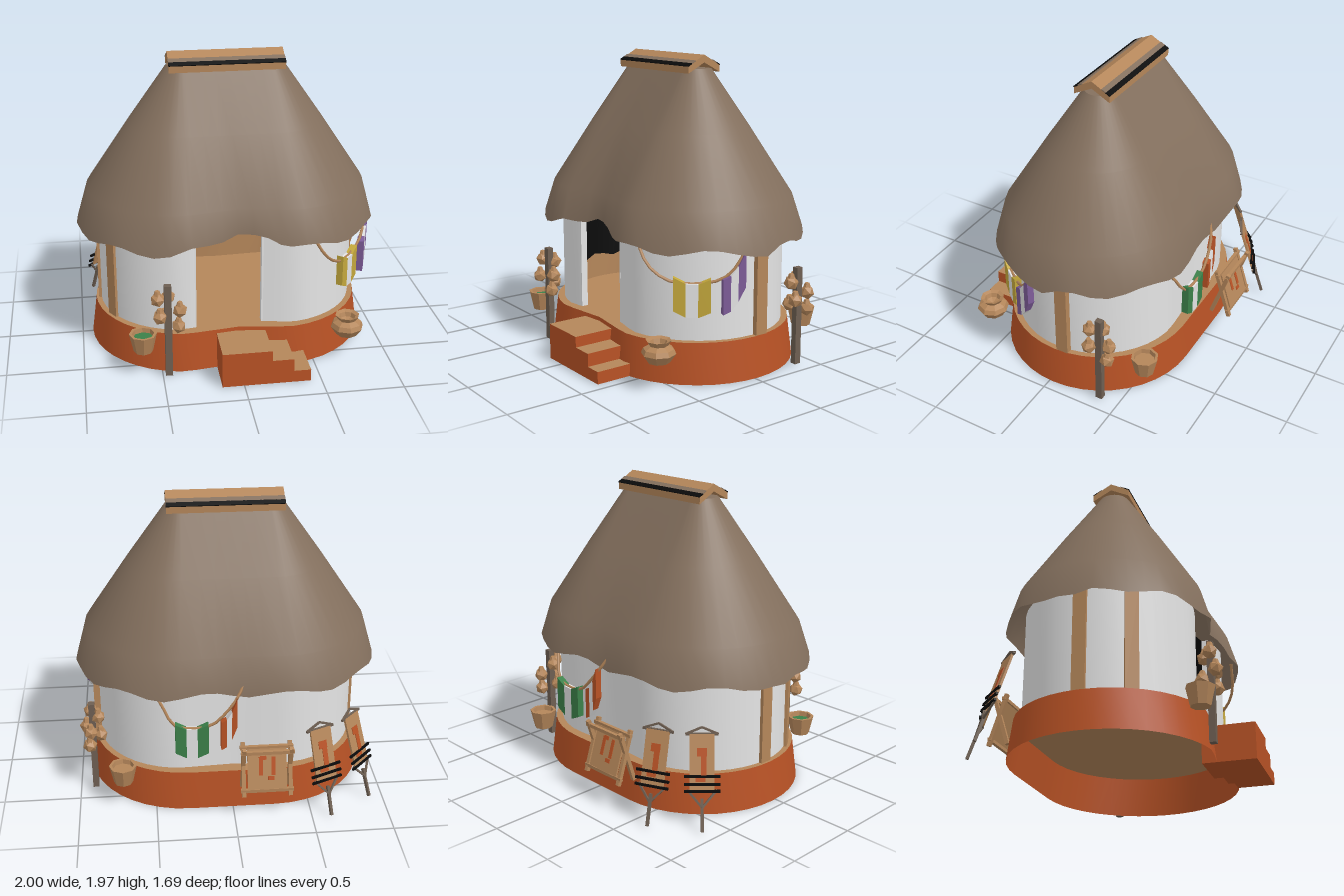
import * as THREE from 'three';

const mat = (name, color, extra = {}) => {
  const m = new THREE.MeshStandardMaterial({ color, side: THREE.DoubleSide, ...extra });
  m.name = name;
  return m;
};
const V = (x, y, z) => new THREE.Vector3(x, y, z);

export function createModel() {
  const model = new THREE.Group();
  const thatch = mat('thatch', 0x84705e), clay = mat('clay', 0xb85225), plaster = mat('plaster', 0xe4e4e4);
  const wood = mat('tanWood', 0xb4865a), dark = mat('darkness', 0x0b0b0b), pole = mat('greyWood', 0x6e5f52);
  const yellow = mat('yellowCloth', 0xc4a83c), purple = mat('purpleCloth', 0x7e5c99), green = mat('greenCloth', 0x3b8049);

  const add = (name, geo, material, parent = model, flat = false) => {
    const g = flat && geo.index ? geo.toNonIndexed() : geo;
    if (flat) g.computeVertexNormals();
    const mesh = new THREE.Mesh(g, material);
    mesh.name = name;
    parent.add(mesh);
    return mesh;
  };
  const group = (name, parent = model) => {
    const g = new THREE.Group();
    g.name = name;
    parent.add(g);
    return g;
  };
  const box = (name, w, h, d, x, y, z, m, parent) => {
    const b = add(name, new THREE.BoxGeometry(w, h, d), m, parent);
    b.position.set(x, y, z);
    return b;
  };
  // Square bar between two points
  const beam = (name, a, b, t, m, parent, depth = t) => {
    const dir = b.clone().sub(a);
    const bar = add(name, new THREE.BoxGeometry(t, dir.length(), depth), m, parent);
    bar.position.copy(a).add(b).multiplyScalar(0.5);
    bar.quaternion.setFromUnitVectors(V(0, 1, 0), dir.normalize());
    return bar;
  };

  // Oval plan with a pinched front (and slightly pinched back), counter-clockwise from above
  const ARC = 20, FRONT = [-0.9, -0.6, -0.3, 0, 0.3, 0.567, 0.8], BACK = [0.6, 0.3, 0, -0.3, -0.6];
  const outline = (s, r, y, dipF = 0, dipB = 0, cz = -0.025) => {
    const flat = [];
    for (let i = 0; i <= ARC; i++) {
      const t = -Math.PI / 2 + Math.PI * i / ARC;
      flat.push([s + r * Math.cos(t), -r * Math.sin(t)]);
    }
    BACK.forEach(k => flat.push([k * s, -r]));
    for (let i = 0; i <= ARC; i++) {
      const t = Math.PI / 2 + Math.PI * i / ARC;
      flat.push([-s + r * Math.cos(t), -r * Math.sin(t)]);
    }
    FRONT.forEach(k => flat.push([k * s, r]));
    return flat.map(([x, z], i) => {
      const pinch = Math.max(0, 1 - Math.abs(x) / 0.38);
      const yy = typeof y === 'function' ? y(x, z, i) : y;
      return V(x, yy, cz + z - (z > 0 ? dipF : -dipB) * pinch);
    });
  };
  // Skin over stacked outlines, bottom to top; optional gap for the door
  const loft = (rings, door = false) => {
    const n = rings[0].length, pos = rings.flat().flatMap(p => [p.x, p.y, p.z]), idx = [];
    const gapFrom = n - FRONT.length, gapTo = gapFrom + 5;
    for (let j = 0; j < rings.length - 1; j++) for (let i = 0; i < n; i++) {
      if (door && i >= gapFrom && i < gapTo) continue;
      const a = j * n + i, b = j * n + (i + 1) % n;
      idx.push(a, b, a + n, b, b + n, a + n);
    }
    const g = new THREE.BufferGeometry();
    g.setAttribute('position', new THREE.Float32BufferAttribute(pos, 3));
    g.setIndex(idx);
    g.computeVertexNormals();
    return g;
  };
  const disc = ring => loft([ring, ring.map(p => V(0, p.y, -0.025))]);

  // Plinth, floor, walls and dark interior
  const baseTop = outline(0.275, 0.62, 0.26, 0.05);
  add('base', loft([outline(0.28, 0.65, 0, 0.05), baseTop]), clay);
  add('floor', disc(baseTop), wood);
  const wallRing = y => outline(0.3, 0.56, y, 0.08, 0.02);
  add('wall', loft([wallRing(0.26), wallRing(0.96)], true), plaster);
  const inner = y => outline(0.3, 0.52, y, 0.08, 0.02);
  const jag = inner((x, z, i) => 0.425 + 0.018 * Math.sin(i * 2.1));
  add('innerWallLower', loft([inner(0.26), jag], true), wood);
  add('innerWallUpper', loft([jag, inner(0.96)], true), dark);
  add('ceiling', disc(inner(0.96)), dark);
  box('doorJambLeft', 0.012, 0.7, 0.045, 0.17, 0.61, 0.47, plaster);
  box('doorJambRight', 0.012, 0.7, 0.045, -0.27, 0.61, 0.49, plaster);
  for (const [x, z, a] of [[0.865, -0.08, 0], [-0.85, -0.04, 0], [-0.775, 0.25, 0.55]])
    box('wallPost', 0.055, 0.68, 0.085, x, 0.6, z, wood).rotation.y = a;

  // Thatched roof with wavy eave
  const eave = (x, z, i) => 0.843 + 0.022 * Math.sin(i * 1.25)
    + (z > 0 ? 0.085 * Math.max(0, 1 - Math.abs(x) / 0.38) : 0) - 0.045 * Math.max(0, 1 - Math.abs(z) / 0.15) * (Math.abs(x) > 0.8 ? 1 : 0);
  const roofTop = outline(0.28, 0.1, 1.88);
  add('roof', loft([outline(0.33, 0.67, eave, 0.1, 0.03), outline(0.32, 0.605, 1.08, 0.06, 0.01),
    outline(0.3, 0.345, 1.5), roofTop]), thatch);
  add('roofTop', disc(roofTop), thatch);

  // Ridge cap with weathered bands
  const cap = new THREE.Shape([[-0.125, 1.9], [-0.125, 1.855], [0, 1.92], [0.125, 1.855], [0.125, 1.9], [0, 1.968]]
    .map(p => new THREE.Vector2(...p)));
  const ridge = add('ridgeCap', new THREE.ExtrudeGeometry(cap, { depth: 0.75, bevelEnabled: false }), wood);
  ridge.rotation.y = Math.PI / 2;
  ridge.position.set(-0.375, 0, -0.02);
  const slope = Math.atan2(0.068, 0.125);
  for (const s of [-1, 1]) for (const [d, w, m, n] of [[0.083, 0.03, thatch, 'ridgeThatchBand'], [0.112, 0.03, dark, 'ridgeDarkBand']])
    box(n, 0.752, 0.006, w / Math.cos(slope), 0, 1.97 - d * Math.tan(slope), -0.02 + s * d, m).rotation.x = s * slope;

  // Side steps
  const steps = group('steps'), stepMats = [clay, clay, wood, clay, clay, clay];
  for (const [x0, x1, h, z0] of [[-0.14, 0.18, 0.235, 0.5], [0.18, 0.32, 0.165, 0.56], [0.32, 0.43, 0.08, 0.6]])
    box('step', x1 - x0, h, 0.84 - z0, (x0 + x1) / 2, h / 2, (0.84 + z0) / 2, stepMats, steps);

  // Poles hung with gourds
  const gourdPole = (x, z, turn) => {
    const g = group('gourdPole');
    g.position.set(x, 0, z);
    g.rotation.y = turn;
    box('pole', 0.045, 0.64, 0.04, 0, 0.33, 0, pole, g);
    for (const [gx, gy, gz] of [[-0.065, 0.56, 0.01], [0.005, 0.55, -0.04], [-0.055, 0.45, 0.04], [0.075, 0.475, 0.01],
      [0.065, 0.37, 0.02], [-0.02, 0.4, -0.05]]) {
      const b = add('gourd', new THREE.IcosahedronGeometry(0.048, 0), wood, g, true);
      b.position.set(gx, gy, gz);
      b.rotation.set(gy * 9, gx * 30, 0);
      const neck = add('gourdNeck', new THREE.CylinderGeometry(0.016, 0.026, 0.03, 6), wood, g, true);
      neck.position.set(gx, gy + 0.045, gz);
    }
  };
  gourdPole(-0.46, 0.65, 0);
  gourdPole(0.9, -0.37, Math.PI / 2);

  // Buckets and pot
  for (const [x, z, fill] of [[-0.62, 0.62, green], [0.71, -0.59, wood]]) {
    const g = group('bucket');
    g.position.set(x, 0.18, z);
    const profile = [[0, 0], [0.062, 0], [0.09, 0.125], [0.072, 0.125], [0.066, 0.09]].map(p => new THREE.Vector2(...p));
    add('bucketShell', new THREE.LatheGeometry(profile, 8), wood, g, true);
    add('bucketFill', new THREE.CylinderGeometry(0.068, 0.06, 0.01, 8), fill, g, true).position.y = 0.09;
  }
  const potProfile = [[0, 0], [0.07, 0], [0.108, 0.055], [0.095, 0.085], [0.058, 0.105], [0.08, 0.138], [0.055, 0.128], [0.045, 0.1], [0, 0.08]];
  add('pot', new THREE.LatheGeometry(potProfile.map(p => new THREE.Vector2(...p)), 8), wood, model, true).position.set(0.72, 0.18, 0.59);

  // Striped cloths hanging on ropes
  const cloth = (p0, p1, h, colour, thick = 0.045) => {
    const g = group('hangingCloth'), side = V(p1.z - p0.z, 0, p0.x - p1.x).normalize();
    [colour, plaster, colour].forEach((m, k) => {
      const geo = new THREE.BoxGeometry(1, 1, 1), pos = geo.attributes.position;
      for (let i = 0; i < pos.count; i++) {
        const u = (k + 0.5 + pos.getX(i)) / 3;
        const p = p0.clone().lerp(p1, u).addScaledVector(side, pos.getZ(i) * thick);
        p.y += (pos.getY(i) - 0.5) * h - 0.04 * u * (1 - u) * 4 + 0.02;
        pos.setXYZ(i, p.x, p.y, p.z);
      }
      add('clothStripe', geo, m, g, true);
    });
  };
  const rope = pts => add('rope', new THREE.TubeGeometry(new THREE.CatmullRomCurve3(pts), 14, 0.01, 5), wood);
  rope([V(0.47, 0.9, 0.58), V(0.57, 0.74, 0.56), V(0.68, 0.65, 0.47), V(0.84, 0.65, 0.27), V(0.9, 0.7, 0.19), V(0.94, 0.84, 0.1), V(0.95, 0.91, 0.06)]);
  cloth(V(0.69, 0.66, 0.46), V(0.83, 0.65, 0.28), 0.21, yellow);
  cloth(V(0.885, 0.65, 0.235), V(0.94, 0.82, 0.105), 0.22, purple);
  rope([V(0.52, 0.9, -0.57), V(0.44, 0.76, -0.65), V(0.37, 0.65, -0.69), V(0.16, 0.64, -0.7), V(0.08, 0.7, -0.7), V(-0.02, 0.82, -0.68), V(-0.07, 0.91, -0.64)]);
  cloth(V(0.37, 0.65, -0.695), V(0.16, 0.64, -0.695), 0.21, green);
  cloth(V(0.08, 0.65, -0.695), V(-0.02, 0.81, -0.69), 0.2, clay);

  // Crossed-leg rack with a stretched hide
  const rack = group('hideRack');
  for (const x of [-0.355, -0.055]) {
    beam('rackLeg', V(x, 0.18, -0.83), V(x, 0.52, -0.72), 0.025, wood, rack);
    beam('rackLeg', V(x, 0.18, -0.7), V(x, 0.52, -0.81), 0.025, wood, rack);
  }
  for (const [y, z] of [[0.49, -0.735], [0.22, -0.82], [0.49, -0.8]])
    beam('rackBar', V(-0.375, y, z), V(-0.035, y, z), 0.022, wood, rack);
  const hide = box('hide', 0.25, 0.27, 0.012, -0.205, 0.355, -0.782, wood, rack);
  hide.rotation.x = 0.31;
  for (const [x, y, w, h] of [[-0.04, 0.02, 0.025, 0.12], [0.04, 0.02, 0.025, 0.12], [-0.025, -0.06, 0.04, 0.025], [0.025, 0.075, 0.04, 0.025]])
    box('hideMark', w, h, 0.004, x, y, -0.008, clay, hide);

  // Leaning hide stretchers
  for (const [x, z, dx, dz] of [[-0.57, -0.71, -0.4, -0.92], [-0.81, -0.555, -0.72, -0.69]]) {
    const g = group('hideStretcher');
    g.position.set(x, 0, z);
    g.rotation.y = Math.atan2(dx, dz);
    const panel = box('stretchedHide', 0.15, 0.34, 0.014, 0, 0.41, 0.01, wood, g);
    panel.rotation.x = -0.3;
    for (const [mx, my, w, h] of [[0, 0.06, 0.06, 0.05], [0.01, -0.02, 0.035, 0.12], [-0.01, -0.1, 0.06, 0.04]])
      box('hideMark', w, h, 0.004, mx, my, 0.009, clay, panel);
    beam('footStick', V(0, 0.01, 0.14), V(0, 0.2, 0.08), 0.018, pole, g);
    for (const s of [-1, 1]) {
      beam('lowerStrut', V(0, 0.15, 0.1), V(s * 0.09, 0.25, 0.06), 0.012, pole, g);
      beam('upperStrut', V(s * 0.1, 0.57, -0.04), V(0, 0.61, -0.05), 0.012, pole, g);
    }
    beam('topBar', V(-0.1, 0.57, -0.04), V(0.1, 0.57, -0.04), 0.014, pole, g);
    for (const [y, rz] of [[0.33, 0.045], [0.285, 0.06], [0.245, 0.07]])
      beam('darkRod', V(-0.11, y, rz), V(0.11, y, rz), 0.014, dark, g);
  }
  return model;
}
